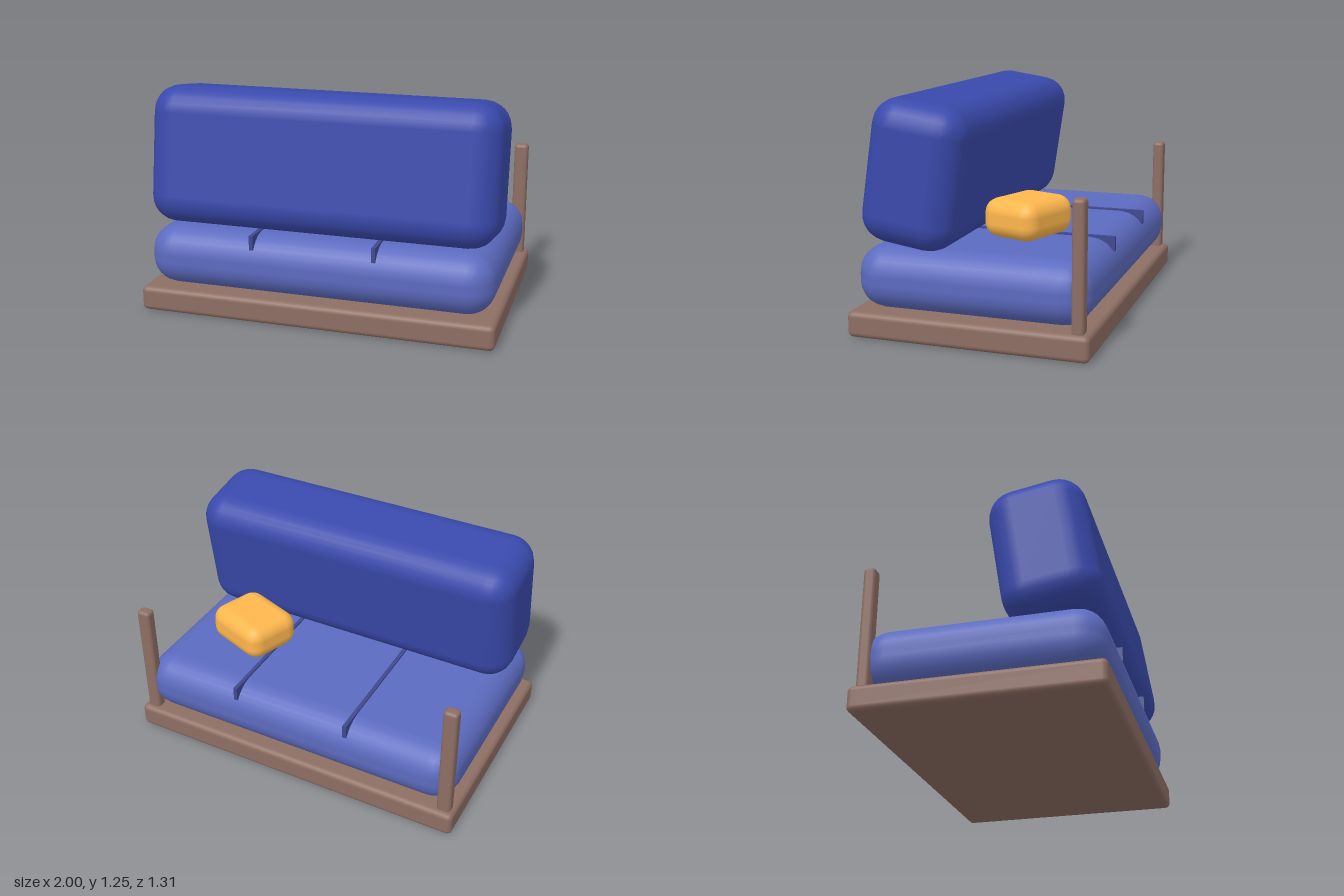
import * as THREE from 'three';
import { RoundedBoxGeometry } from 'three/addons/geometries/RoundedBoxGeometry.js';

const wood = new THREE.MeshStandardMaterial({ color: 0x8d6e63 });
const seatBlue = new THREE.MeshStandardMaterial({ color: 0x5c6bc0 });
const backBlue = new THREE.MeshStandardMaterial({ color: 0x3949ab });
const seamBlue = new THREE.MeshStandardMaterial({ color: 0x3f4a8f });
const amber = new THREE.MeshStandardMaterial({ color: 0xffb74d });

export function createModel() {
  const model = new THREE.Group();
  model.name = 'sofa';

  const add = (name, geometry, material, x, y, z) => {
    const mesh = new THREE.Mesh(geometry, material);
    mesh.name = name;
    mesh.position.set(x, y, z);
    model.add(mesh);
    return mesh;
  };
  const soft = (w, h, d, r) => new RoundedBoxGeometry(w, h, d, 3, r);

  // Wooden base and the padded seat on it
  add('base', soft(2, 0.14, 1.31, 0.03), wood, 0, 0.07, 0);
  add('seat', soft(1.95, 0.34, 1.27, 0.15), seatBlue, 0, 0.31, 0);

  // Back cushion, tilted
  const back = add('backCushion', soft(1.95, 0.766, 0.528, 0.15), backBlue, 0, 0.857, 0.318);
  back.rotation.x = -0.15;

  // Seams dividing the seat into three, and the two corner posts
  for (const side of [-1, 1]) {
    const prefix = side > 0 ? 'left' : 'right';
    add(prefix + 'Seam', new THREE.BoxGeometry(0.022, 0.08, 1.24), seamBlue, side * 0.343, 0.45, 0);
    add(prefix + 'Post', soft(0.08, 0.69, 0.066, 0.02), wood, side * 0.935, 0.47, -0.588);
  }

  // Loose pillow lying on the seat
  const pillow = add('pillow', soft(0.41, 0.21, 0.34, 0.08), amber, 0.48, 0.605, -0.175);
  pillow.rotation.y = -0.35;

  return model;
}
